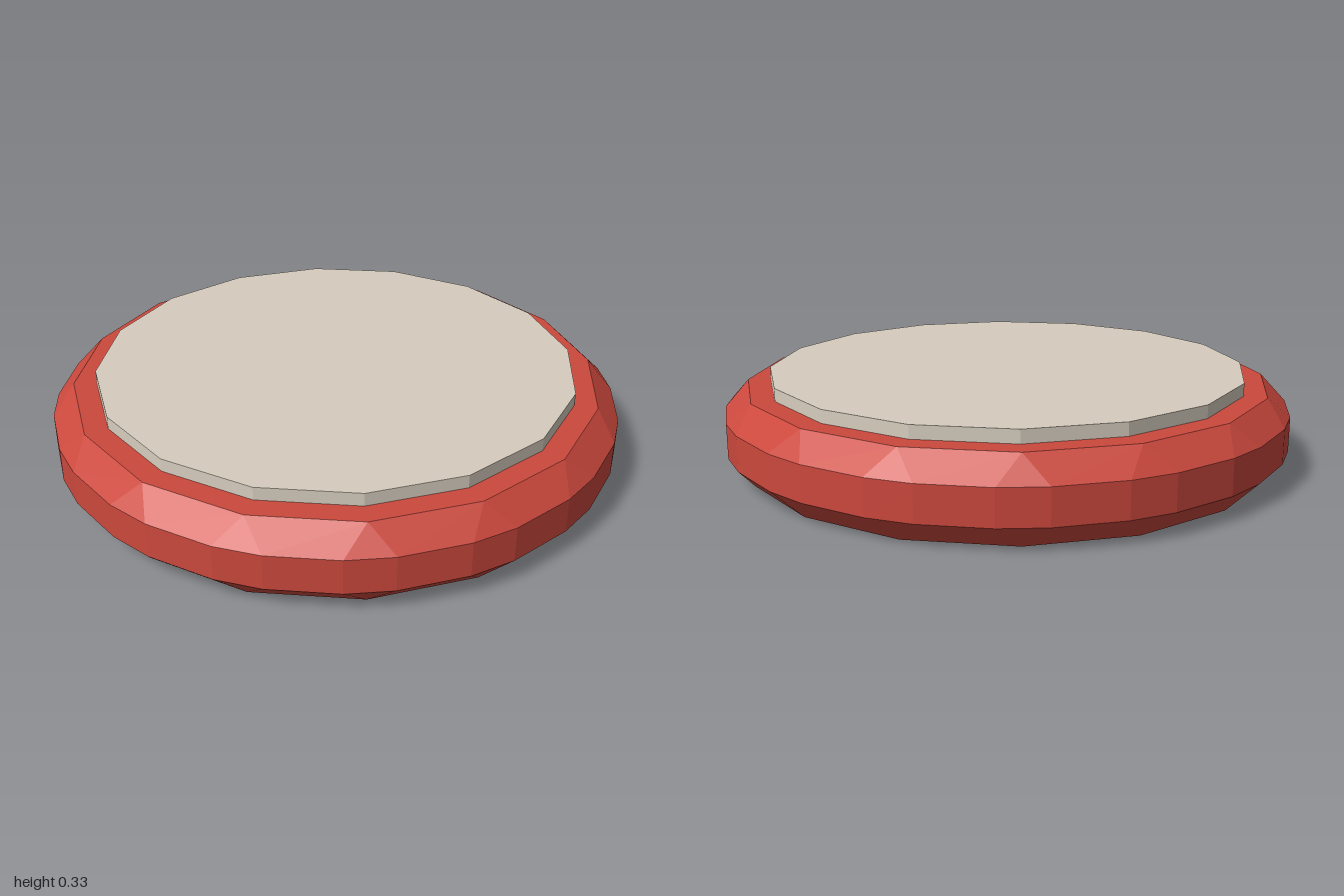
import * as THREE from 'three';

const SIDES = 16;
const STEP = (Math.PI * 2) / SIDES;
const SPLIT = THREE.MathUtils.degToRad(4.5); // half angle of each cut corner

// Point at an angle measured from +z towards +x
const at = (r, a, y) => [r * Math.sin(a), y, r * Math.cos(a)];

// 16-sided slab whose corners split in two towards the wider rim
function chamferedSlab(rInner, rOuter, y0, y1, y2, y3) {
  const pos = [];
  const tri = (a, b, c) => pos.push(...a, ...b, ...c);
  const quad = (a, b, c, d) => { tri(a, b, c); tri(a, c, d); };

  for (let i = 0; i < SIDES; i++) {
    const a = i * STEP, b = a + STEP;
    const a0 = a - SPLIT, a1 = a + SPLIT, b0 = b - SPLIT;
    const inner = (ang, y) => at(rInner, ang, y);
    const outer = (ang, y) => at(rOuter, ang, y);

    // caps
    tri([0, y3, 0], inner(a, y3), inner(b, y3));
    tri([0, y0, 0], inner(b, y0), inner(a, y0));
    // upright rim: corner facet and long facet
    quad(outer(a0, y1), outer(a1, y1), outer(a1, y2), outer(a0, y2));
    quad(outer(a1, y1), outer(b0, y1), outer(b0, y2), outer(a1, y2));
    // upper chamfer
    tri(outer(a0, y2), outer(a1, y2), inner(a, y3));
    quad(outer(a1, y2), outer(b0, y2), inner(b, y3), inner(a, y3));
    // lower chamfer
    tri(inner(a, y0), outer(a1, y1), outer(a0, y1));
    quad(inner(a, y0), inner(b, y0), outer(b0, y1), outer(a1, y1));
  }

  const geo = new THREE.BufferGeometry();
  geo.setAttribute('position', new THREE.Float32BufferAttribute(pos, 3));
  geo.computeVertexNormals();
  return geo;
}

export function createModel() {
  const group = new THREE.Group();
  group.name = 'roundPad';

  // red chamfered body
  const base = new THREE.Mesh(
    chamferedSlab(0.93, 1.003, 0, 0.083, 0.205, 0.285),
    new THREE.MeshStandardMaterial({ color: 0xcb483d, flatShading: true })
  );
  base.name = 'base';

  // pale raised disc on top
  const disc = new THREE.Mesh(
    new THREE.CylinderGeometry(0.85, 0.85, 0.045, SIDES),
    new THREE.MeshStandardMaterial({ color: 0xd6cdbe, flatShading: true })
  );
  disc.name = 'topDisc';
  disc.position.y = 0.285 + 0.0225;

  group.add(base, disc);
  return group;
}
